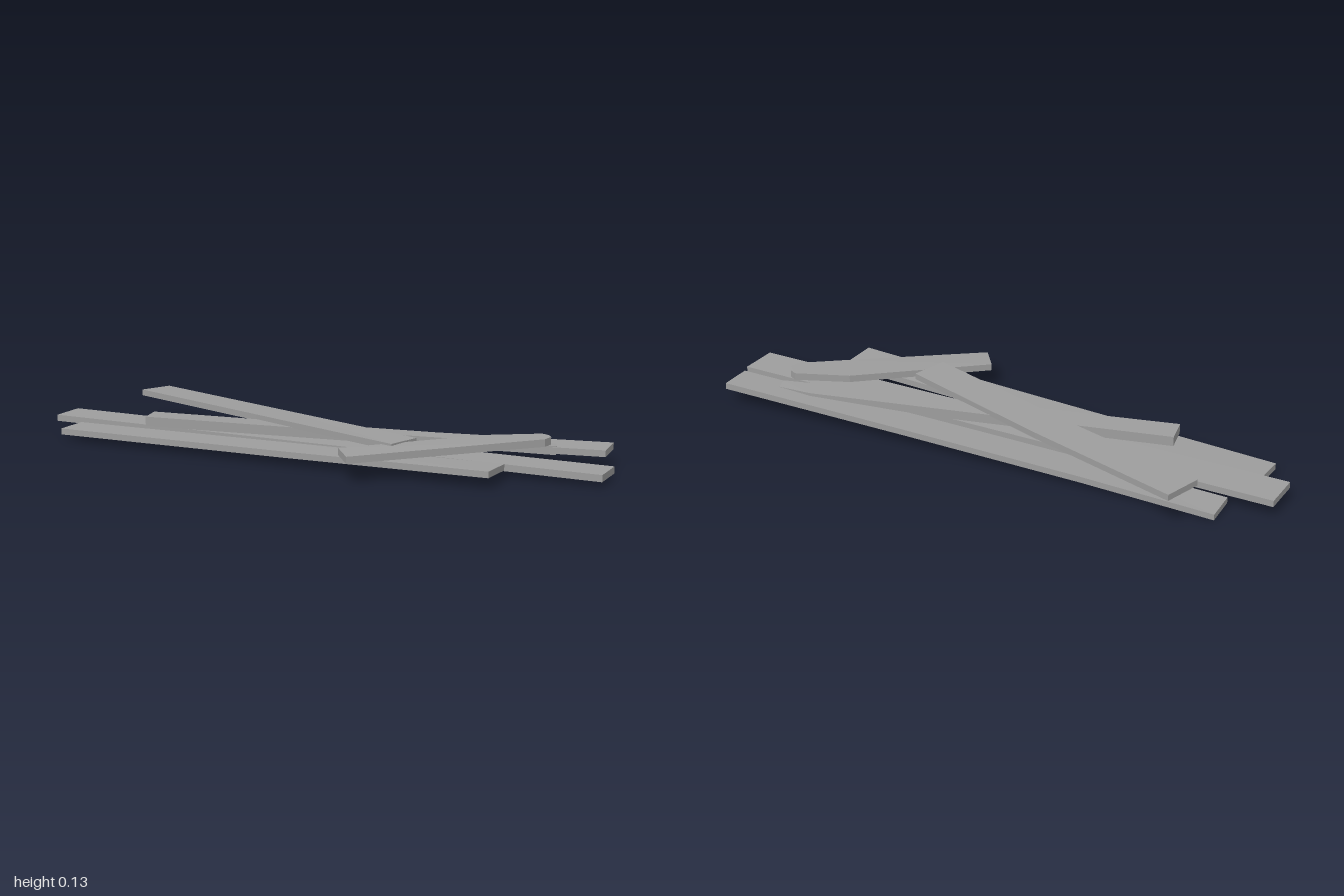
import * as THREE from 'three';

// Sweeps a rectangular section along stations of
// [back x, back z, front x, front z, back bottom y, front bottom y, thickness]
function plankGeometry(stations) {
  const rings = stations.map(([ax, az, bx, bz, ya, yb, t]) => [
    [ax, ya, az], [bx, yb, bz], [bx, yb + t, bz], [ax, ya + t, az],
  ]);
  const pos = [];
  const quad = (a, b, c, d) => pos.push(...a, ...b, ...d, ...b, ...c, ...d);
  for (let i = 0; i < rings.length - 1; i++) {
    const p = rings[i], q = rings[i + 1];
    for (let j = 0; j < 4; j++) {
      const k = (j + 1) % 4;
      quad(p[j], q[j], q[k], p[k]);
    }
  }
  // end caps
  const s = rings[0], e = rings[rings.length - 1];
  quad(s[0], s[1], s[2], s[3]);
  quad(e[3], e[2], e[1], e[0]);
  const geo = new THREE.BufferGeometry();
  geo.setAttribute('position', new THREE.Float32BufferAttribute(pos, 3));
  geo.computeVertexNormals();
  return geo;
}

const planks = {
  // three long boards lying at the bottom
  middleBoard: [
    [-1, -0.105, -1, 0.03, 0.038, 0.038, 0.022],
    [0, -0.105, 0, 0.03, 0.026, 0.026, 0.022],
    [1, -0.105, 1, 0.03, 0.014, 0.014, 0.023],
  ],
  backBoard: [
    [-0.85, -0.208, -0.843, -0.09, 0, 0, 0.02],
    [-0.4, -0.231, -0.394, -0.114, 0.018, 0.016, 0.021],
    [0.23, -0.264, 0.237, -0.147, 0.034, 0.032, 0.021],
    [0.94, -0.302, 0.947, -0.185, 0.049, 0.046, 0.022],
  ],
  frontBoard: [
    [-0.9, 0.03, -0.904, 0.153, 0.021, 0.02, 0.021],
    [0, 0.055, -0.004, 0.185, 0.027, 0.026, 0.021],
    [0.695, 0.075, 0.691, 0.21, 0.031, 0.034, 0.021],
  ],
  // loose boards thrown across the top
  topBoard: [
    [-0.75, -0.335, -0.79, -0.21, 0.104, 0.107, 0.021],
    [-0.2, -0.161, -0.24, -0.038, 0.09, 0.092, 0.021],
    [0.38, 0.035, 0.345, 0.16, 0.079, 0.08, 0.021],
  ],
  splitBoard: [
    [-0.595, 0.04, -0.575, 0.132, 0.074, 0.074, 0.033],
    [0.1, -0.108, 0.12, -0.025, 0.055, 0.055, 0.032],
    [0.64, -0.225, 0.66, -0.152, 0.042, 0.042, 0.031],
    [0.77, -0.225, 0.783, -0.18, 0.036, 0.038, 0.03],
  ],
  shortBoard: [
    [0.198, 0.245, 0.265, 0.332, 0.068, 0.063, 0.023],
    [0.565, -0.095, 0.66, -0.005, 0.078, 0.077, 0.024],
    [0.735, -0.178, 0.77, -0.1, 0.081, 0.08, 0.025],
    [0.762, -0.165, 0.778, -0.14, 0.081, 0.081, 0.025],
  ],
};

export function createModel() {
  const group = new THREE.Group();
  group.name = 'plankPile';
  const wood = new THREE.MeshStandardMaterial({ color: 0x9d9d9d });
  wood.name = 'greyWood';
  for (const [name, stations] of Object.entries(planks)) {
    const mesh = new THREE.Mesh(plankGeometry(stations), wood);
    mesh.name = name;
    group.add(mesh);
  }
  return group;
}
